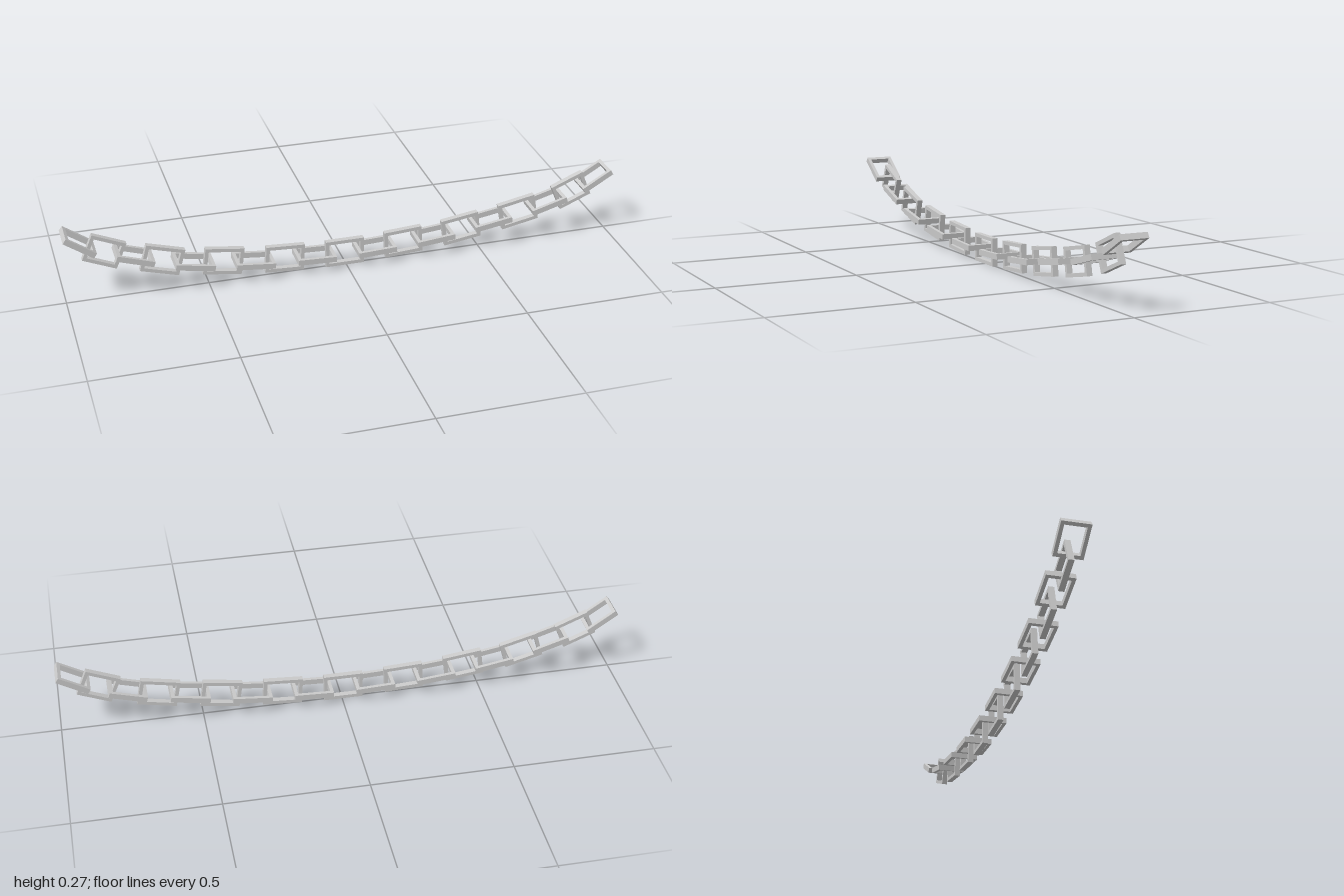
import * as THREE from 'three';

const WIDTH = 0.1, BAR = 0.0125, DEPTH = 0.02;

// Centres of the links along the sagging line; links alternate flat and upright
const CENTRES = [
  [-0.943, 0.231], [-0.858, 0.184], [-0.758, 0.152], [-0.66, 0.12], [-0.552, 0.094],
  [-0.446, 0.082], [-0.338, 0.065], [-0.225, 0.059], [-0.116, 0.053], [-0.005, 0.05],
  [0.107, 0.053], [0.214, 0.059], [0.327, 0.067], [0.433, 0.08], [0.545, 0.1],
  [0.652, 0.116], [0.76, 0.143], [0.856, 0.175], [0.942, 0.219],
];

function rectangle(path, w, h) {
  path.moveTo(-w / 2, -h / 2);
  path.lineTo(w / 2, -h / 2);
  path.lineTo(w / 2, h / 2);
  path.lineTo(-w / 2, h / 2);
  path.closePath();
  return path;
}

// Square-edged rectangular frame lying in the XY plane
function linkGeometry(length) {
  const shape = rectangle(new THREE.Shape(), length, WIDTH);
  shape.holes.push(rectangle(new THREE.Path(), length - 2 * BAR, WIDTH - 2 * BAR));
  return new THREE.ExtrudeGeometry(shape, { depth: DEPTH, bevelEnabled: false })
    .translate(0, 0, -DEPTH / 2);
}

export function createModel() {
  const chain = new THREE.Group();
  chain.name = 'chain';
  const material = new THREE.MeshStandardMaterial({ color: 0xcccccc });
  const last = CENTRES.length - 1;

  CENTRES.forEach(([x, y], i) => {
    // Links are a little shorter towards both ends
    const fromEnd = Math.min(i, last - i);
    const length = [0.122, 0.126, 0.135][fromEnd] ?? 0.14;
    const geometry = linkGeometry(length);
    const flat = i % 2 === 0;
    if (flat) geometry.rotateX(Math.PI / 2);

    // Each link follows the direction between its neighbours
    const a = CENTRES[Math.max(i - 1, 0)], b = CENTRES[Math.min(i + 1, last)];
    let angle = Math.atan2(b[1] - a[1], b[0] - a[0]);
    if (i === 0) angle = -0.61;
    if (i === last) angle = 0.53;

    const link = new THREE.Mesh(geometry, material);
    link.name = (flat ? 'flatLink' : 'uprightLink') + (i + 1);
    link.position.set(x, y, 0);
    link.rotation.z = angle;
    chain.add(link);
  });
  return chain;
}
